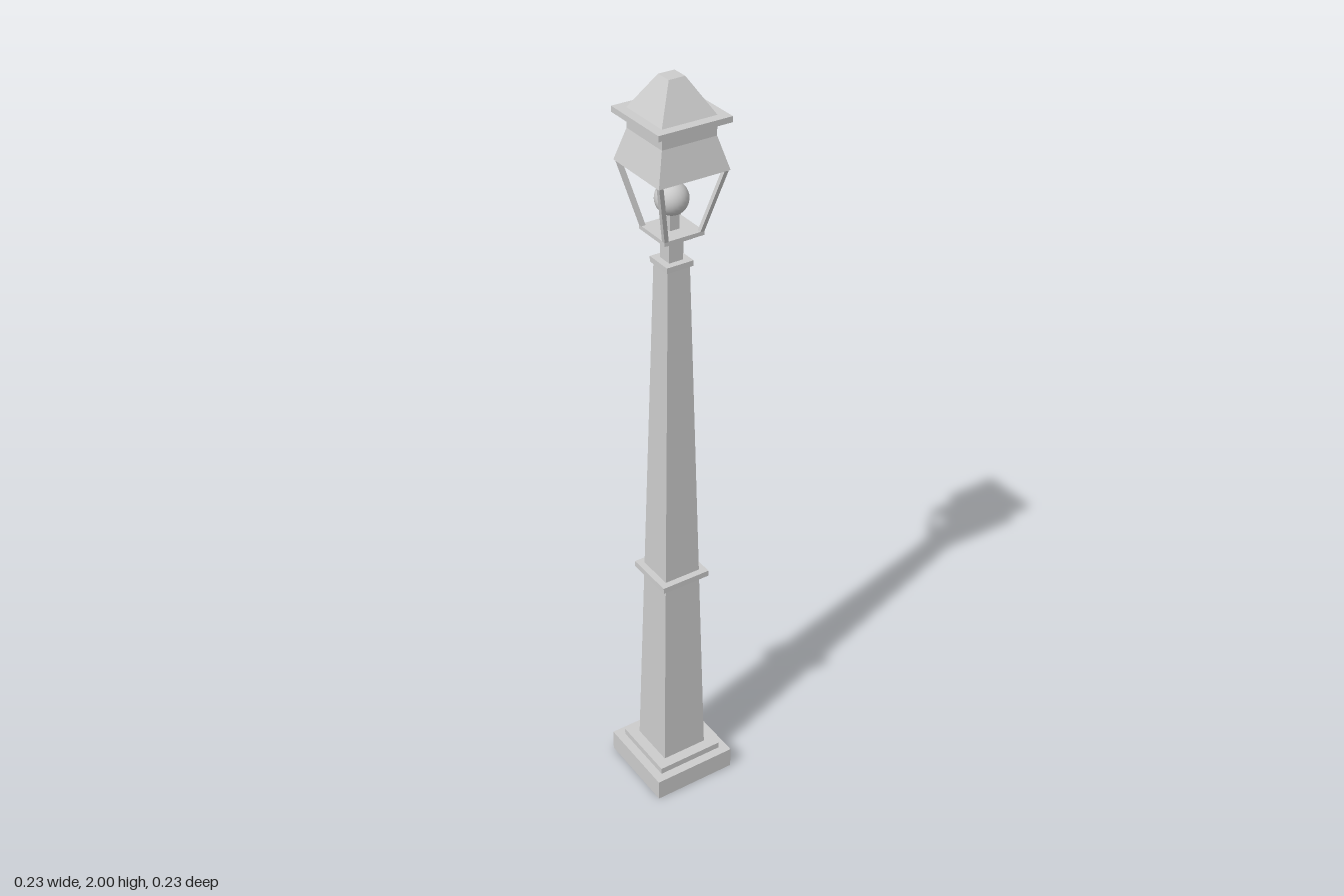
import * as THREE from 'three';

const grey = new THREE.MeshStandardMaterial({ color: 0xcccccc, flatShading: true });
const smooth = new THREE.MeshStandardMaterial({ color: 0xcccccc });

// Square-section solid from [halfWidth, y] pairs, listed upwards on the outside
function square(name, profile) {
  const points = profile.map(([h, y]) => new THREE.Vector2(h * Math.SQRT2, y));
  const geometry = new THREE.LatheGeometry(points, 4, Math.PI / 4).toNonIndexed();
  geometry.computeVertexNormals();
  const mesh = new THREE.Mesh(geometry, grey);
  mesh.name = name;
  return mesh;
}

// Closed block tapering from half width h0 at y0 to h1 at y1
const block = (name, h0, y0, h1, y1) =>
  square(name, [[0, y0], [h0, y0], [h1, y1], [0, y1]]);

// Corner post leaning outwards: a box whose ends follow the corners
function cornerPost(sx, sz) {
  const [y0, y1, h0, h1, t] = [1.635, 1.796, 0.047, 0.086, 0.011];
  const geometry = new THREE.BoxGeometry(t, y1 - y0, t);
  const p = geometry.attributes.position;
  for (let i = 0; i < p.count; i++) {
    const h = p.getY(i) < 0 ? h0 : h1;
    p.setXYZ(i, p.getX(i) + sx * h, p.getY(i) + (y0 + y1) / 2, p.getZ(i) + sz * h);
  }
  geometry.computeVertexNormals();
  const mesh = new THREE.Mesh(geometry, grey);
  mesh.name = 'lanternPost';
  return mesh;
}

export function createModel() {
  const model = new THREE.Group();
  model.name = 'streetLamp';

  // Stepped foot and tapering column with its bands
  model.add(
    block('base', 0.117, 0, 0.117, 0.06),
    block('plinth', 0.093, 0.06, 0.093, 0.078),
    block('column', 0.064, 0.078, 0.03, 1.55),
    block('columnBand', 0.068, 0.657, 0.068, 0.673),
    block('columnCap', 0.036, 1.547, 0.036, 1.561),
    block('neck', 0.019, 1.561, 0.019, 1.617)
  );

  const lantern = new THREE.Group();
  lantern.name = 'lantern';
  model.add(lantern);

  // Lantern floor and leaning corner posts
  lantern.add(
    block('floorCollar', 0.035, 1.616, 0.035, 1.628),
    block('lanternFloor', 0.053, 1.628, 0.053, 1.638)
  );
  for (const sx of [-1, 1]) for (const sz of [-1, 1]) lantern.add(cornerPost(sx, sz));

  // Bulb on its holder
  lantern.add(block('bulbHolder', 0.013, 1.638, 0.013, 1.69));
  const bulb = new THREE.Mesh(new THREE.SphereGeometry(0.04, 24, 16), smooth);
  bulb.name = 'bulb';
  bulb.position.y = 1.712;
  lantern.add(bulb);

  // Hollow shade, brim and roof
  lantern.add(
    square('shade', [
      [0.086, 1.792], [0.093, 1.792], [0.071, 1.87], [0.071, 1.905],
      [0.065, 1.905], [0.065, 1.869], [0.086, 1.792]
    ]),
    block('brim', 0.095, 1.904, 0.095, 1.918),
    block('roof', 0.071, 1.918, 0.021, 2)
  );
  return model;
}
